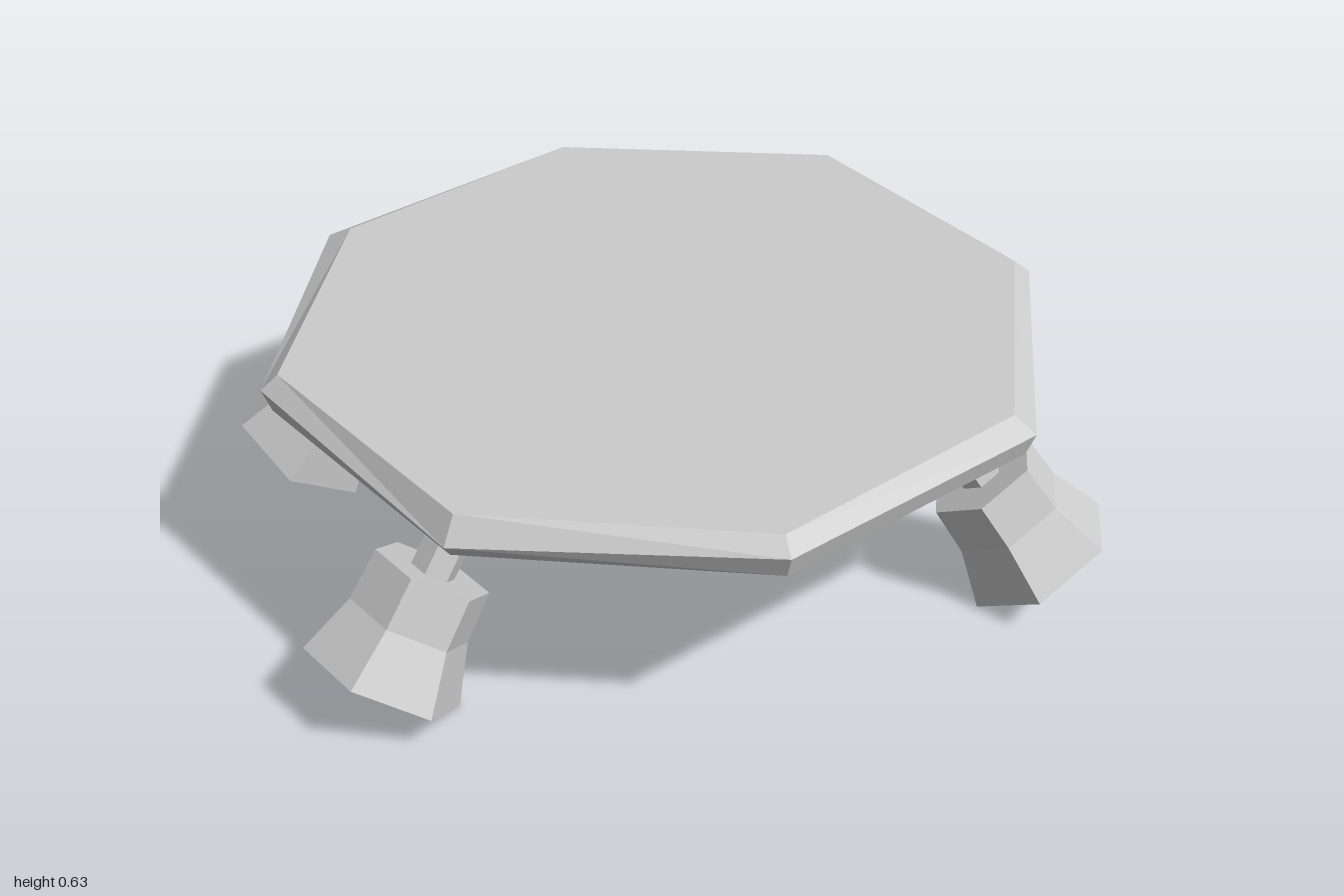
import * as THREE from 'three';

const grey = new THREE.MeshStandardMaterial({ color: 0xcccccc, flatShading: true });

// Faceted solid of revolution from [radius, height] pairs, listed bottom to top
function faceted(name, profile, sides) {
  const points = profile.map(([r, y]) => new THREE.Vector2(r, y));
  const mesh = new THREE.Mesh(new THREE.LatheGeometry(points, sides), grey);
  mesh.name = name;
  return mesh;
}

// Octagonal deck plate with a worn, uneven top bevel
function makeDeck() {
  const profile = [[0, 0.545], [0.96, 0.545], [0.983, 0.605], [0.945, 0.642], [0, 0.642]];
  const deck = faceted('deck', profile, 8);
  const topRadius = [0.94, 0.925, 0.94, 0.965, 0.935, 0.915, 0.94, 0.94];
  const rimHeight = [0.605, 0.605, 0.605, 0.58, 0.605, 0.605, 0.605, 0.578];
  const pos = deck.geometry.attributes.position;
  for (let i = 0; i <= 8; i++) {
    const k = i % 8, a = (k * Math.PI) / 4;
    pos.setY(i * profile.length + 2, rimHeight[k]);
    pos.setXYZ(i * profile.length + 3, Math.sin(a) * topRadius[k], 0.642, Math.cos(a) * topRadius[k]);
  }
  return deck;
}

// Six-sided nozzle; its origin is the centre of the open mouth
function makeThruster() {
  const thruster = new THREE.Group();
  thruster.add(
    faceted('nozzle', [
      [0, 0.16], [0.095, 0.16], [0.155, 0], [0.2, 0],
      [0.15, 0.15], [0.145, 0.28], [0, 0.28],
    ], 6),
    faceted('neck', [[0.055, 0.27], [0.055, 0.42]], 6),
    faceted('collar', [[0, 0.4], [0.078, 0.4], [0.078, 0.46], [0.05, 0.525], [0, 0.525]], 6),
  );
  return thruster;
}

export function createModel() {
  const model = new THREE.Group();
  model.name = 'hoverPlatform';
  model.add(makeDeck());

  // Tapered underside hull
  model.add(faceted('hull', [[0, 0.315], [0.52, 0.315], [0.7, 0.38], [0.812, 0.55]], 8));

  // Four thrusters splayed outward
  for (const sx of [1, -1]) {
    for (const sz of [1, -1]) {
      const thruster = makeThruster();
      thruster.name = `thruster${sz > 0 ? 'Front' : 'Back'}${sx > 0 ? 'Left' : 'Right'}`;
      const yaw = -Math.atan2(sz * Math.sin(Math.PI / 8), sx * Math.cos(Math.PI / 8));
      thruster.rotation.set(0, yaw, THREE.MathUtils.degToRad(34), 'YXZ');
      thruster.position.set(sx * 0.825, 0.105, sz * 0.515);
      model.add(thruster);
    }
  }
  return model;
}
